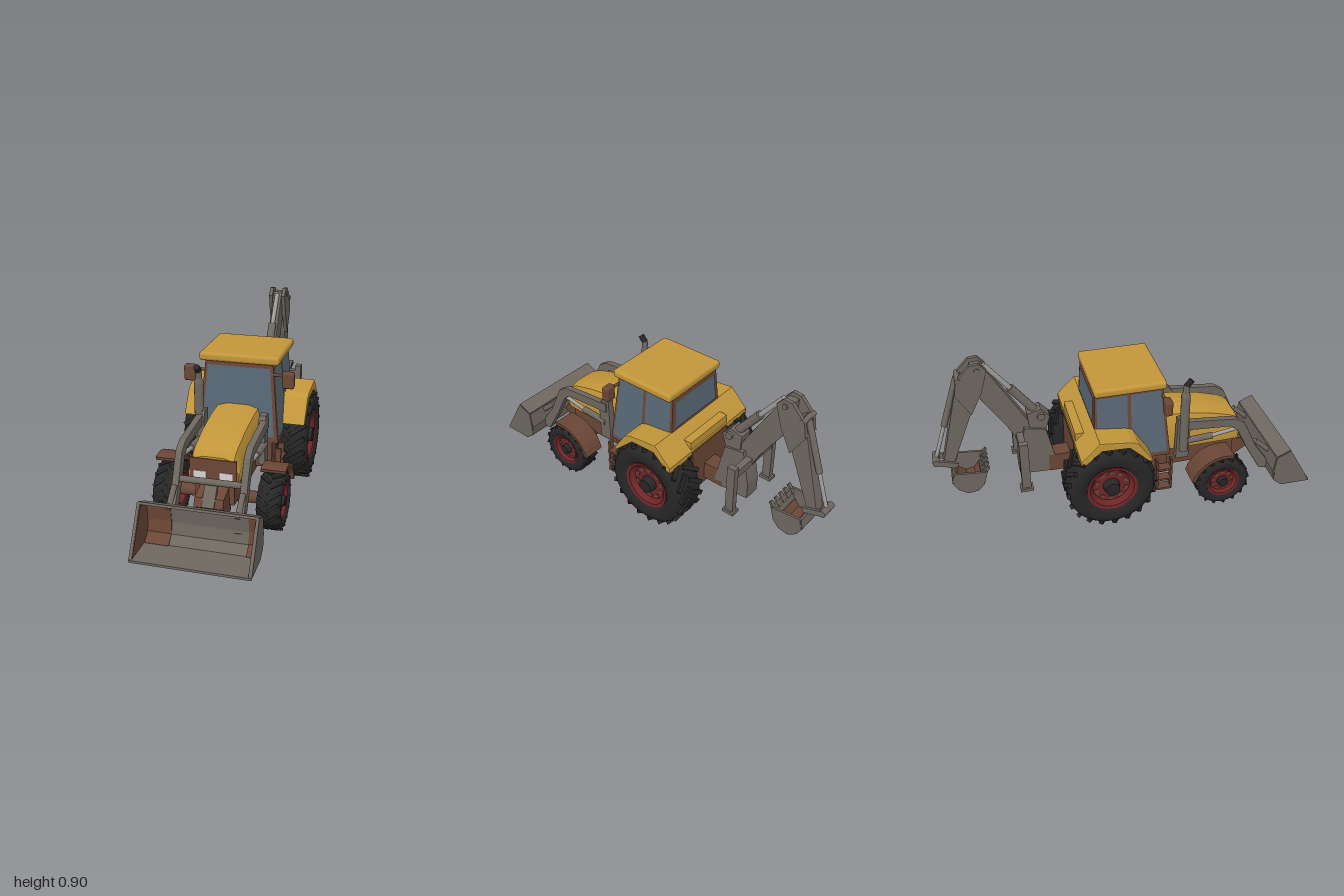
import * as THREE from 'three';
import { mergeGeometries, toCreasedNormals } from 'three/addons/utils/BufferGeometryUtils.js';
import { RoundedBoxGeometry } from 'three/addons/geometries/RoundedBoxGeometry.js';

const paint = (name, color, extra = {}) => {
  const m = new THREE.MeshStandardMaterial({ color, ...extra });
  m.name = name;
  return m;
};

export function createModel() {
  const yellow = paint('yellow paint', 0xc2963a), brown = paint('rusty brown', 0x6a4636);
  const steel = paint('worn steel', 0x6e675f), chrome = paint('bright rod', 0x9b9a97);
  const rubber = paint('rubber', 0x262626), red = paint('wheel red', 0x6e2528);
  const glass = paint('glass', 0x586875, { side: THREE.DoubleSide }), lamp = paint('lamp', 0xd6d4cf);
  const model = new THREE.Group();

  const add = (name, geo, mat, parent = model) => {
    const m = new THREE.Mesh(geo, mat);
    m.name = name;
    parent.add(m);
    return m;
  };
  const box = (name, x, y, z, w, h, d, mat, r = 0) =>
    add(name, r ? new RoundedBoxGeometry(w, h, d, 2, r) : new THREE.BoxGeometry(w, h, d), mat).position.set(x, y, z);
  // Outline of [z, y] points, given a width along x
  const side = (name, pts, xc, width, mat, bevel = 0) => {
    const shape = new THREE.Shape(pts.map(p => new THREE.Vector2(...p)));
    const depth = width - 2 * bevel;
    const geo = new THREE.ExtrudeGeometry(shape, {
      depth, bevelEnabled: bevel > 0, bevelSize: bevel, bevelThickness: bevel, bevelOffset: -bevel, bevelSegments: 2,
    });
    geo.rotateY(-Math.PI / 2).translate(xc + depth / 2, 0, 0);
    add(name, geo, mat);
  };
  // Box running between two [z, y] points
  const bar = (name, a, b, xc, width, thick, mat) => {
    const dz = b[0] - a[0], dy = b[1] - a[1];
    const geo = new THREE.BoxGeometry(width, thick, Math.hypot(dz, dy));
    geo.rotateX(-Math.atan2(dy, dz)).translate(xc, (a[1] + b[1]) / 2, (a[0] + b[0]) / 2);
    add(name, geo, mat);
  };
  // Round rod between two [x, y, z] points
  const rod = (name, a, b, r, mat, r2 = r) => {
    const p = new THREE.Vector3(...a), q = new THREE.Vector3(...b), d = q.clone().sub(p);
    const m = add(name, new THREE.CylinderGeometry(r2, r, d.length(), 14), mat);
    m.position.copy(p).add(q).multiplyScalar(0.5);
    m.quaternion.setFromUnitVectors(new THREE.Vector3(0, 1, 0), d.normalize());
  };
  const pin = (name, z, y, half, r, mat = steel) => rod(name, [-half, y, z], [half, y, z], r, mat);
  // Skin over rings that run toward +z, each counter-clockwise from the front
  const loft = rings => {
    const n = rings[0].length, idx = [];
    for (let i = 0; i < rings.length - 1; i++) for (let j = 0; j < n; j++) {
      const a = i * n + j, b = i * n + (j + 1) % n;
      idx.push(a, b, a + n, b, b + n, a + n);
    }
    const e = (rings.length - 1) * n;
    for (let j = 1; j < n - 1; j++) idx.push(0, j + 1, j, e, e + j, e + j + 1);
    const geo = new THREE.BufferGeometry();
    geo.setAttribute('position', new THREE.Float32BufferAttribute(rings.flat(2), 3));
    geo.setIndex(idx);
    return toCreasedNormals(geo, 0.5);
  };
  // Flat pane from [a, y] points placed by a rule
  const pane = (name, pts, place) => {
    const geo = new THREE.ShapeGeometry(new THREE.Shape(pts.map(p => new THREE.Vector2(...p))));
    const p = geo.attributes.position;
    for (let i = 0; i < p.count; i++) p.setXYZ(i, ...place(p.getX(i), p.getY(i)));
    geo.computeVertexNormals();
    add(name, geo, glass);
  };

  // Wheels, lathed around y and then laid on their side
  const wheel = (name, s, x, y, z, R, W, rim, hub, lugs) => {
    const g = new THREE.Group();
    g.name = name;
    const v = (r, a) => new THREE.Vector2(r, a * W);
    const half = [[rim, 0.4], [rim * 1.1, 0.46], [R * 0.76, 0.5], [R * 0.88, 0.47], [R * 0.94, 0.4], [R * 0.96, 0.2]];
    const tyre = [...half.map(p => v(p[0], -p[1])), ...half.reverse().map(p => v(...p)), v(rim, -0.4)];
    add('tyre', toCreasedNormals(new THREE.LatheGeometry(tyre, 40), 0.7), rubber, g);
    const blocks = [];
    for (let i = 0; i < lugs * 2; i++) {
      const t = i % 2 ? 1 : -1;
      blocks.push(new THREE.BoxGeometry(R * 0.07, W * 0.52, R * 0.1).rotateX(t * 0.65)
        .translate(R * 0.955, t * W * 0.23, 0).rotateY(i * Math.PI / lugs));
    }
    add('treadLugs', mergeGeometries(blocks), rubber, g);
    const dish = [v(0, -0.2), v(rim * 0.75, -0.2), v(rim * 0.9, -0.42), v(rim * 1.03, -0.44),
      v(rim * 1.03, 0.44), v(rim * 0.9, 0.42), v(rim * 0.75, 0.28), v(0, 0.28)];
    add('rim', toCreasedNormals(new THREE.LatheGeometry(dish, 32), 0.5), red, g);
    const slots = [];
    for (let i = 0; i < 10; i++) slots.push(new THREE.BoxGeometry(rim * 0.14, 0.008, rim * 0.2)
      .translate(rim * 0.62, W * 0.28, 0).rotateY(i * Math.PI / 5));
    add('rimSlots', mergeGeometries(slots), brown, g);
    add('hub', new THREE.CylinderGeometry(hub * 0.8, hub, W * 0.25, 20).translate(0, W * 0.36, 0), rubber, g);
    g.rotation.z = -s * Math.PI / 2;
    g.position.set(s * x, y, z);
    model.add(g);
  };

  // Chassis and axles
  box('rearBody', 0, 0.3, -0.1, 0.29, 0.26, 0.38, brown);
  box('cabFloor', 0, 0.26, 0.12, 0.36, 0.16, 0.16, brown);
  box('frontChassis', 0, 0.23, 0.33, 0.19, 0.14, 0.54, brown);
  side('frontBracket', [[0.57, 0.12], [0.62, 0.13], [0.71, 0.19], [0.69, 0.23], [0.57, 0.26]], 0, 0.14, brown);
  pin('frontAxle', 0.475, 0.15, 0.22, 0.03, brown);
  pin('rearAxle', -0.13, 0.24, 0.2, 0.05, brown);
  box('rearLink', 0, 0.25, -0.34, 0.09, 0.1, 0.13, brown);

  // Bonnet, grille and lamps
  const ring = ([z, top, w]) => [[-w, 0.28, z], [w, 0.28, z], [w * 1.06, top - 0.09, z], [w * 0.86, top - 0.015, z],
    [w * 0.45, top, z], [-w * 0.45, top, z], [-w * 0.86, top - 0.015, z], [-w * 1.06, top - 0.09, z]];
  add('bonnet', loft([[0.18, 0.508, 0.122], [0.3, 0.502, 0.122], [0.45, 0.478, 0.12], [0.56, 0.447, 0.118],
    [0.6, 0.43, 0.117], [0.618, 0.405, 0.115]].map(ring)), yellow);
  box('grille', 0, 0.333, 0.619, 0.225, 0.125, 0.008, brown);
  for (const s of [-1, 1]) box('headlamp', s * 0.063, 0.317, 0.624, 0.062, 0.034, 0.006, lamp);

  // Cab frame with leaning walls
  const sideX = y => 0.21 - (y - 0.33) * 0.095;
  const frontZ = y => 0.205 - (y - 0.33) * 0.1;
  const rearZ = y => -0.2 + (y - 0.33) * 0.045;
  const cab = new THREE.BoxGeometry(1, 1, 1), cp = cab.attributes.position;
  for (let i = 0; i < cp.count; i++) {
    const y = cp.getY(i) > 0 ? 0.72 : 0.32;
    cp.setXYZ(i, Math.sign(cp.getX(i)) * sideX(y), y, cp.getZ(i) > 0 ? frontZ(y) : rearZ(y));
  }
  cab.computeVertexNormals();
  add('cabFrame', cab, brown);
  box('roof', 0, 0.738, -0.003, 0.41, 0.045, 0.368, yellow, 0.016);
  pane('windscreen', [[-0.19, 0.35], [0.19, 0.35], [0.16, 0.698], [-0.16, 0.698]], (a, y) => [a, y, frontZ(y) + 0.004]);
  pane('rearWindow', [[0.165, 0.55], [-0.165, 0.55], [-0.155, 0.698], [0.155, 0.698]], (a, y) => [a, y, rearZ(y) - 0.004]);

  // Rear mudguards, joined behind the cab
  side('rearMudguards', [[0.085, 0.38], [0.005, 0.5], [-0.03, 0.515], [-0.19, 0.535], [-0.285, 0.44], [-0.285, 0.41],
    [-0.265, 0.41], [-0.18, 0.485], [-0.04, 0.48], [0.062, 0.38]], 0, 0.645, yellow, 0.006);
  box('rearPanel', 0, 0.455, -0.23, 0.3, 0.07, 0.1, yellow);

  for (const s of [-1, 1]) {
    pane('doorGlass', [[0.188, 0.345], [0.155, 0.698], [0, 0.698], [0, 0.49], [0.085, 0.345]], (z, y) => [s * (sideX(y) + 0.004), y, z]);
    pane('sideGlass', [[-0.018, 0.5], [-0.018, 0.698], [-0.172, 0.698], [-0.178, 0.5]], (z, y) => [s * (sideX(y) + 0.004), y, z]);

    wheel('rearWheel', s, 0.24, 0.243, -0.13, 0.235, 0.19, 0.128, 0.046, 20);
    wheel('frontWheel', s, 0.255, 0.15, 0.475, 0.145, 0.118, 0.086, 0.03, 16);

    // Front mudguard
    const arc = [];
    for (let i = 0; i <= 8; i++) arc.push([75 + i * 11.5, 0.182]);
    for (let i = 8; i >= 0; i--) arc.push([75 + i * 11.5, 0.165]);
    side('frontMudguard', arc.map(([d, r]) => [0.475 + r * Math.cos(d * Math.PI / 180), 0.15 + r * Math.sin(d * Math.PI / 180)]),
      s * 0.26, 0.12, brown);

    // Mirror and ladder
    box('mirror', s * 0.252, 0.648, 0.17, 0.062, 0.084, 0.04, brown, 0.012);
    rod('mirrorArm', [s * 0.17, 0.668, 0.165], [s * 0.235, 0.668, 0.17], 0.008, brown);
    for (const z of [0.135, 0.21]) box('ladderRail', s * 0.215, 0.2, z, 0.03, 0.19, 0.012, brown);
    for (const y of [0.115, 0.175, 0.24]) box('ladderStep', s * 0.215, y, 0.172, 0.05, 0.012, 0.075, brown);

    // Lift arm with its post and ram
    side('liftPost', [[0.25, 0.25], [0.32, 0.25], [0.325, 0.46], [0.3, 0.5], [0.255, 0.5]], s * 0.155, 0.035, steel);
    side('liftArm', [[0.27, 0.485], [0.57, 0.455], [0.625, 0.42], [0.7, 0.26], [0.79, 0.13], [0.77, 0.09],
      [0.735, 0.1], [0.65, 0.25], [0.585, 0.38], [0.55, 0.41], [0.27, 0.43]], s * 0.163, 0.034, steel, 0.004);
    rod('liftRam', [s * 0.163, 0.35, 0.29], [s * 0.163, 0.36, 0.45], 0.018, steel);
    rod('liftRamRod', [s * 0.163, 0.36, 0.45], [s * 0.163, 0.385, 0.6], 0.011, chrome);
    rod('bucketLink', [s * 0.163, 0.28, 0.7], [s * 0.163, 0.2, 0.79], 0.014, steel);

    // Stabiliser legs
    box('stabiliserLeg', s * 0.165, 0.35, -0.545, 0.032, 0.28, 0.045, steel);
    box('stabiliserFoot', s * 0.165, 0.212, -0.545, 0.05, 0.018, 0.065, steel);
  }
  pin('liftCrossTube', 0.66, 0.3, 0.165, 0.016);
  bar('frontLink', [0.64, 0.29], [0.71, 0.19], 0, 0.06, 0.02, steel);

  // Exhaust on the right
  const ex = -0.17;
  rod('exhaustMuffler', [ex, 0.3, 0.29], [ex, 0.64, 0.29], 0.024, steel);
  rod('exhaustNeck', [ex, 0.64, 0.29], [ex, 0.665, 0.29], 0.024, steel, 0.016);
  rod('exhaustPipe', [ex, 0.66, 0.29], [ex, 0.705, 0.293], 0.016, steel);
  rod('exhaustTip', [ex, 0.698, 0.29], [ex, 0.728, 0.318], 0.016, rubber);

  // Front bucket
  const scoop = (name, pts, xc, width, thick, mat) => {
    for (let i = 1; i < pts.length; i++) bar(name, pts[i - 1], pts[i], xc, width, thick, mat);
  };
  const curve = [[0.995, 0.04], [0.835, 0.042], [0.79, 0.08], [0.78, 0.14], [0.79, 0.228], [0.865, 0.262]];
  scoop('bucketShell', curve, 0, 0.555, 0.012, steel);
  for (const s of [-1, 1]) {
    side('bucketEnd', curve, s * 0.273, 0.014, steel);
    side('bucketEndRust', curve.map(([z, y]) => [z * 0.94 + 0.053, y * 0.9 + 0.013]), s * 0.2655, 0.004, brown);
  }
  const rust = curve.slice(1, 5).map(([z, y]) => [z + 0.008, y + 0.006]);
  scoop('bucketRust', rust, -0.205, 0.115, 0.004, brown);
  scoop('bucketRust', rust, 0.24, 0.05, 0.004, brown);

  // Digger tower and stabiliser beam
  side('hoeTower', [[-0.35, 0.2], [-0.56, 0.21], [-0.56, 0.3], [-0.52, 0.49], [-0.41, 0.47]], 0, 0.09, steel);
  side('hoeHead', [[-0.385, 0.54], [-0.43, 0.59], [-0.5, 0.57], [-0.49, 0.45], [-0.41, 0.46]], 0, 0.07, steel);
  pin('headPin', -0.43, 0.55, 0.05, 0.02);
  box('stabiliserBeam', 0, 0.44, -0.545, 0.34, 0.04, 0.035, steel);

  // Boom, stick and their rams
  side('boom', [[-0.47, 0.42], [-0.49, 0.52], [-0.66, 0.82], [-0.7, 0.88], [-0.75, 0.88], [-0.75, 0.74], [-0.6, 0.5], [-0.56, 0.42]],
    0, 0.05, steel, 0.004);
  for (const s of [-1, 1]) side('stickCheek', [[-0.675, 0.86], [-0.71, 0.9], [-0.755, 0.895], [-0.825, 0.82], [-0.84, 0.74],
    [-0.77, 0.62], [-0.71, 0.74]], s * 0.037, 0.02, steel);
  side('stick', [[-0.73, 0.78], [-0.8, 0.83], [-0.84, 0.74], [-0.94, 0.34], [-0.915, 0.31], [-0.89, 0.32], [-0.77, 0.62]], 0, 0.06, steel, 0.004);
  rod('boomRam', [0, 0.55, -0.44], [0, 0.72, -0.57], 0.022, steel);
  rod('boomRamRod', [0, 0.72, -0.57], [0, 0.87, -0.685], 0.013, chrome);
  rod('stickRam', [0, 0.82, -0.82], [0, 0.55, -0.91], 0.016, steel);
  rod('stickRamRod', [0, 0.55, -0.91], [0, 0.355, -0.975], 0.01, chrome);
  pin('boomPin', -0.72, 0.865, 0.052, 0.014);
  pin('stickPin', -0.815, 0.82, 0.05, 0.014);
  pin('linkPin', -0.975, 0.355, 0.045, 0.018);
  for (const s of [-1, 1]) bar('hoeLink', [-0.98, 0.355], [-0.87, 0.32], s * 0.035, 0.014, 0.03, steel);

  // Digging bucket with teeth
  const dig = [[-0.735, 0.295], [-0.755, 0.225], [-0.785, 0.19], [-0.835, 0.18], [-0.88, 0.21], [-0.905, 0.255], [-0.895, 0.31]];
  scoop('hoeBucketShell', dig, 0, 0.19, 0.012, steel);
  for (const s of [-1, 1]) side('hoeBucketEnd', dig, s * 0.092, 0.012, steel);
  scoop('hoeBucketRust', dig.slice(1, 6).map(([z, y]) => [z * 0.9 - 0.082, y + 0.01]), 0, 0.17, 0.005, brown);
  for (let i = -2; i <= 2; i++) bar('tooth', [-0.75, 0.27], [-0.72, 0.315], i * 0.04, 0.02, 0.012, steel);
  return model;
}
